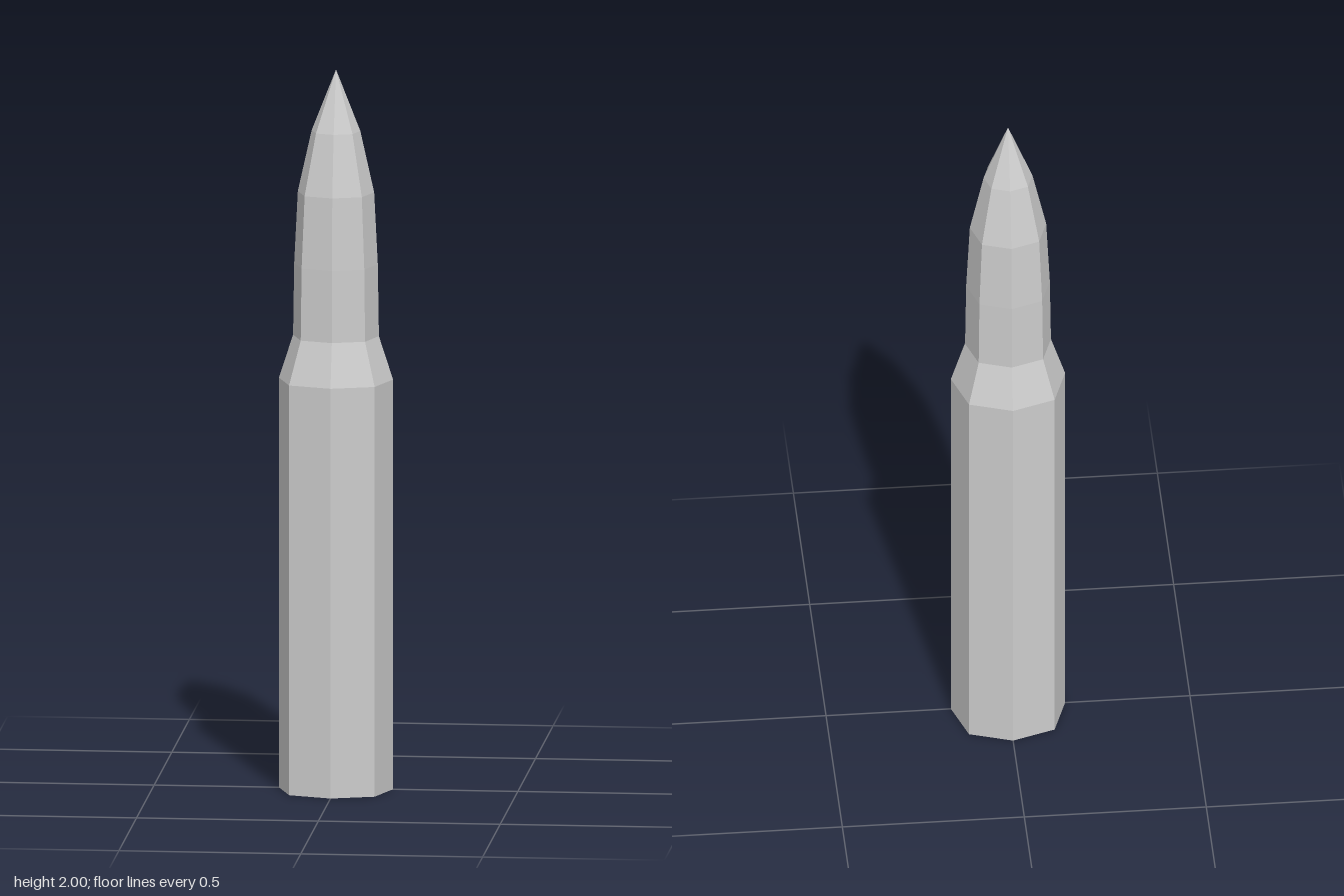
import * as THREE from 'three';

const SIDES = 8;
const DIAGONAL = 1.06; // diagonal corners stand slightly further out

// Faceted eight-sided body from a [radius, height] profile, bottom to top
function facetedLathe(name, profile) {
  const lathe = new THREE.LatheGeometry(profile.map(([r, y]) => new THREE.Vector2(r, y)), SIDES);
  const pos = lathe.attributes.position;
  for (let i = 0; i < pos.count; i++) {
    const step = Math.floor(i / profile.length);
    if (step % 2 === 1) pos.setXYZ(i, pos.getX(i) * DIAGONAL, pos.getY(i), pos.getZ(i) * DIAGONAL);
  }
  const geometry = lathe.toNonIndexed();
  geometry.computeVertexNormals();
  const mesh = new THREE.Mesh(
    geometry,
    new THREE.MeshStandardMaterial({ color: 0xcccccc, flatShading: true })
  );
  mesh.name = name;
  return mesh;
}

export function createModel() {
  const group = new THREE.Group();
  group.name = 'cartridge';

  // Straight case with closed base and tapered shoulder
  group.add(facetedLathe('case', [[0, 0], [0.157, 0], [0.157, 1.14], [0.118, 1.26]]));

  // Pointed tip rising from the shoulder
  group.add(facetedLathe('tip', [[0.118, 1.26], [0.115, 1.46], [0.105, 1.66], [0.067, 1.83], [0, 2]]));

  return group;
}
